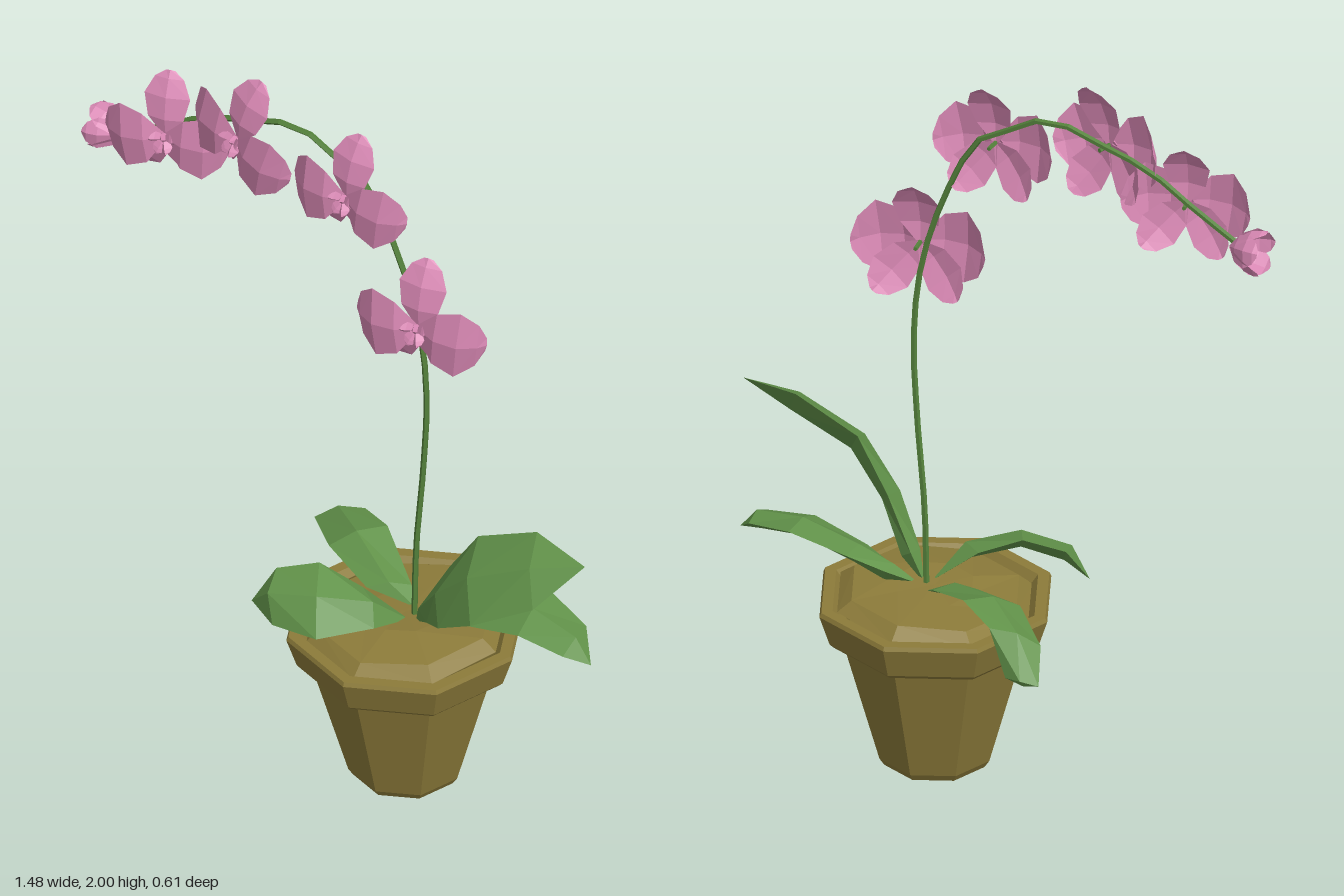
import * as THREE from 'three';

const mat = (name, color) => new THREE.MeshStandardMaterial({ name, color, flatShading: true, side: THREE.DoubleSide });
const clay = mat('ochre clay', 0x8c7b3a);
const leafGreen = mat('leaf green', 0x62934a);
const stemGreen = mat('stem green', 0x55833c);
const pink = mat('petal pink', 0xda89b5);

function add(parent, name, geometry, material) {
  const mesh = new THREE.Mesh(geometry, material);
  mesh.name = name;
  parent.add(mesh);
  return mesh;
}

// Skin over cross-section rows that all have the same number of points.
function skin(rows) {
  const n = rows[0].length, index = [];
  for (let r = 0; r < rows.length - 1; r++) {
    for (let c = 0; c < n - 1; c++) {
      const a = r * n + c, b = a + 1, d = a + n, e = d + 1;
      index.push(a, b, d, b, e, d);
    }
  }
  const g = new THREE.BufferGeometry();
  g.setAttribute('position', new THREE.Float32BufferAttribute(rows.flat(2), 3));
  g.setIndex(index);
  g.computeVertexNormals();
  return g;
}

// Fleshy leaf: two edge lines between base and tip, with a ridge above and a keel below.
function leafGeometry(base, edgeA, edgeB, tip, ridge, keel) {
  const vec = (q) => new THREE.Vector3(...q);
  const mids = [vec(base), ...edgeA.map((a, i) => vec(a).lerp(vec(edgeB[i]), 0.5)), vec(tip)];
  const rows = [Array(5).fill(base)];
  edgeA.forEach((a, i) => {
    const b = edgeB[i];
    const along = mids[i + 2].clone().sub(mids[i]);
    const normal = vec(b).sub(vec(a)).cross(along).normalize();
    if (normal.y < 0) normal.negate();
    const offset = (d) => mids[i + 1].clone().addScaledVector(normal, d).toArray();
    rows.push([a, offset(ridge), b, offset(-keel), a]);
  });
  rows.push(Array(5).fill(tip));
  return skin(rows);
}

// Petal growing along +y, bowed forward in the middle and back at the tip.
function petalGeometry(length, width, bow, tipZ) {
  const outline = [[0, 0.12, 0], [0.3, 0.78, 0.8], [0.65, 1, 1], [0.9, 0.64, 0.5], [1, 0.2, 0]];
  return skin(outline.map(([t, w, b]) => {
    const y = t * length, x = w * width, z = b * bow + tipZ * t * t;
    return [[-x, y, z - 0.014 * w], [0, y * 1.02, z], [x, y, z - 0.014 * w]];
  }));
}

const sepalShape = petalGeometry(0.178, 0.064, 0.014, -0.05);
const lowerShape = petalGeometry(0.165, 0.058, 0.008, -0.055);
const wingShape = petalGeometry(0.174, 0.102, 0.036, -0.03);
const lipShape = petalGeometry(0.042, 0.018, 0.006, 0.01);

function flower(name, position, scale, turn, roll) {
  const g = new THREE.Group();
  g.name = name;
  // Three sepals behind two broad wings
  add(g, 'topSepal', sepalShape, pink);
  for (const s of [-1, 1]) {
    add(g, 'lowerSepal', lowerShape, pink).rotation.z = s * 2.42;
    const wing = add(g, 'widePetal', wingShape, pink);
    wing.rotation.z = s * 1.65;
    wing.position.z = 0.008;
  }
  // Small cupped lip and column
  for (const a of [1.25, -1.25, 2.75, -2.75]) {
    const holder = new THREE.Group();
    holder.name = 'lip';
    holder.rotation.z = a;
    holder.position.z = 0.016;
    add(holder, 'lipPetal', lipShape, pink).rotation.x = 0.4;
    g.add(holder);
  }
  const column = add(g, 'column', new THREE.ConeGeometry(0.016, 0.03, 5), pink);
  column.rotation.x = 1.2;
  column.position.set(0, 0.005, 0.024);
  // Short stalk to the stem
  const stalk = add(g, 'flowerStalk', new THREE.CylinderGeometry(0.006, 0.006, 0.04, 5), stemGreen);
  stalk.rotation.x = Math.PI / 2;
  stalk.position.z = -0.02;
  g.position.set(...position);
  g.rotation.set(0, turn, roll);
  g.scale.setScalar(scale);
  return g;
}

export function createModel() {
  const model = new THREE.Group();
  model.name = 'pottedOrchid';

  // Eight-sided pot with a flared rim
  const v = (x, y) => new THREE.Vector2(x, y);
  const pot = add(model, 'pot', new THREE.LatheGeometry([
    v(0, 0), v(0.135, 0), v(0.148, 0.02), v(0.242, 0.36), v(0.268, 0.36), v(0.28, 0.372),
    v(0.307, 0.455), v(0.302, 0.466), v(0.272, 0.466), v(0.255, 0.445)], 8), clay);
  pot.position.x = 0.18;

  // Uneven soil mound
  const soilGeometry = new THREE.LatheGeometry([v(0.26, 0.45), v(0.222, 0.48), v(0.1, 0.492), v(0, 0.49)], 8);
  const p = soilGeometry.attributes.position;
  for (let i = 0; i < p.count; i++) {
    const x = p.getX(i), z = p.getZ(i);
    p.setY(i, p.getY(i) + 0.05 * x * (1 - Math.abs(z)) + 0.006 * Math.sin(z * 20));
  }
  add(model, 'soil', soilGeometry, clay).position.x = 0.18;

  // Arching flower stem
  const path = new THREE.CatmullRomCurve3([
    [0.205, 0.47], [0.21, 0.7], [0.23, 0.95], [0.24, 1.18], [0.222, 1.38], [0.165, 1.58],
    [0.06, 1.79], [-0.04, 1.845], [-0.13, 1.892], [-0.26, 1.86], [-0.41, 1.81], [-0.52, 1.74], [-0.67, 1.65],
  ].map(([x, y]) => new THREE.Vector3(x, y, 0)), false, 'centripetal');
  add(model, 'flowerStem', new THREE.TubeGeometry(path, 24, 0.008, 5), stemGreen);

  // Four broad leaves
  const leaves = [
    ['uprightLeaf', [0.215, 0.48, 0.01],
      [[0.25, 0.56, 0.005], [0.32, 0.7, 0.02], [0.41, 0.84, 0.035], [0.58, 0.92, 0.035]],
      [[0.275, 0.53, 0.06], [0.37, 0.62, 0.165], [0.49, 0.705, 0.21], [0.65, 0.795, 0.175]],
      [0.745, 0.905, 0.08], 0.025, 0.025],
    ['rightLeaf', [0.22, 0.48, 0],
      [[0.29, 0.53, -0.06], [0.38, 0.575, -0.1], [0.53, 0.615, -0.115], [0.66, 0.585, -0.07]],
      [[0.29, 0.505, 0.01], [0.38, 0.54, 0.03], [0.53, 0.58, 0.045], [0.66, 0.565, 0.045]],
      [0.715, 0.53, 0], 0.018, 0.03],
    ['leftFrontLeaf', [0.2, 0.485, 0.02],
      [[0.09, 0.57, 0.06], [-0.02, 0.62, 0.085], [-0.12, 0.59, 0.125]],
      [[0.165, 0.515, 0.13], [0.06, 0.51, 0.237], [-0.07, 0.5, 0.23]],
      [-0.165, 0.5, 0.17], 0.032, 0.01],
    ['leftBackLeaf', [0.19, 0.485, -0.03],
      [[0.06, 0.51, -0.01], [-0.09, 0.535, -0.08], [-0.2, 0.505, -0.195], [-0.23, 0.435, -0.272]],
      [[0.155, 0.515, -0.07], [0.02, 0.575, -0.18], [-0.08, 0.55, -0.24], [-0.14, 0.44, -0.275]],
      [-0.19, 0.43, -0.278], 0.018, 0.015],
  ];
  for (const [name, ...shape] of leaves) add(model, name, leafGeometry(...shape), leafGreen);

  // Open flowers along the arch
  model.add(
    flower('lowestFlower', [0.24, 1.435, 0.04], 1, 0.12, -0.03),
    flower('secondFlower', [0.035, 1.765, 0.045], 0.95, -0.05, -0.08),
    flower('thirdFlower', [-0.275, 1.83, 0.05], 0.97, -0.28, -0.2),
    flower('fourthFlower', [-0.5, 1.735, 0.025], 0.94, 0.2, 0.02));

  // Half-open bud at the tip
  const bud = new THREE.Group();
  bud.name = 'bud';
  const budPetal = petalGeometry(0.112, 0.044, 0.02, 0.01);
  for (let i = 0; i < 5; i++) {
    const holder = new THREE.Group();
    holder.name = 'budPetalHolder';
    holder.rotation.y = i * Math.PI * 0.4;
    add(holder, 'budPetal', budPetal, pink).rotation.x = 0.45;
    bud.add(holder);
  }
  bud.position.set(-0.635, 1.66, -0.015);
  bud.rotation.set(-0.15, 0, 1.58);
  model.add(bud);

  return model;
}
